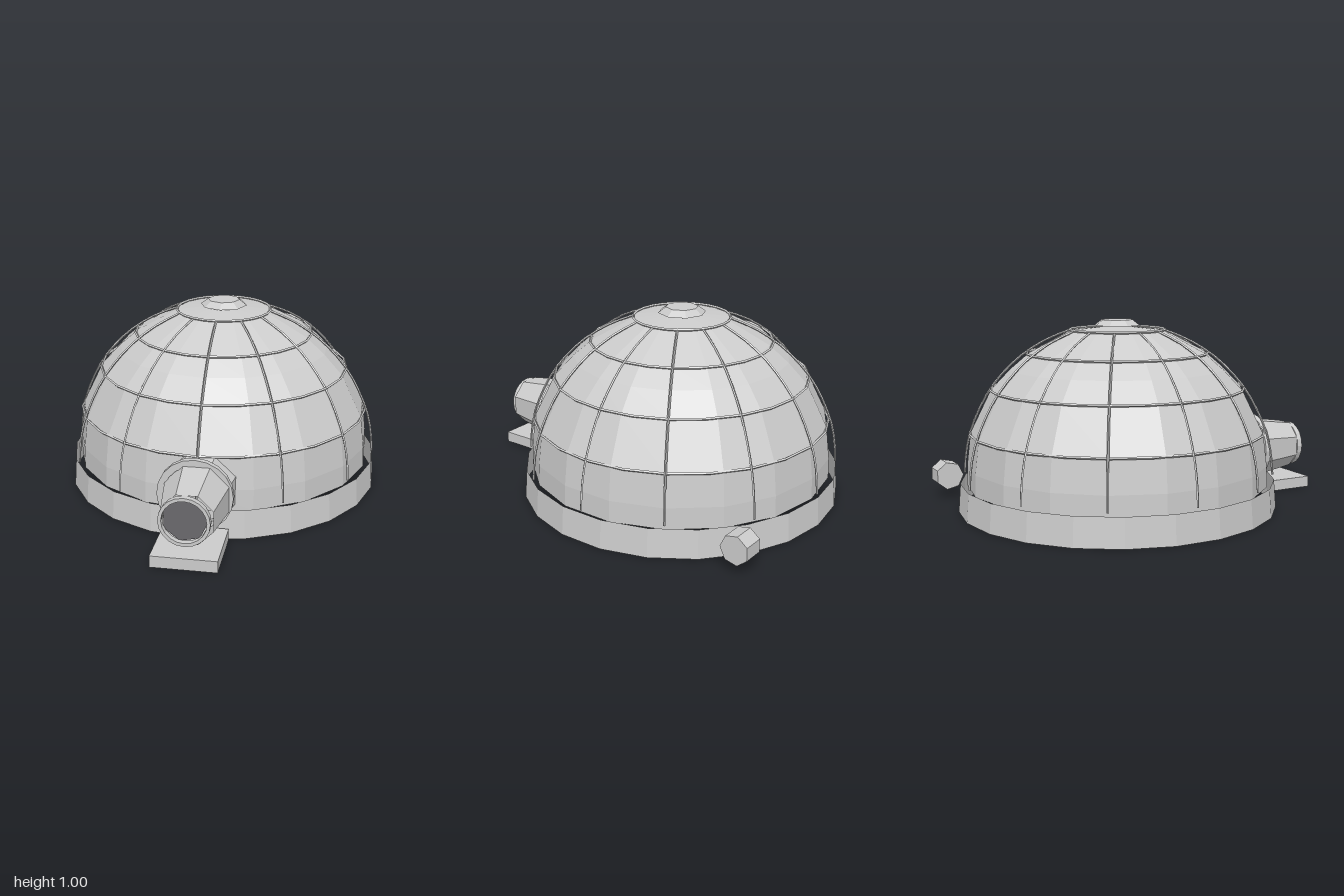
import * as THREE from 'three';

const grey = new THREE.MeshStandardMaterial({ color: 0xcccccc, flatShading: true, side: THREE.DoubleSide });
const dark = new THREE.MeshStandardMaterial({ color: 0x6a686c, flatShading: true, side: THREE.DoubleSide });

const DOME_Z = -0.155; // dome axis
const DOME_Y = 0.15; // centre of the dome's sphere
const TUNNEL_Y = 0.235;

function add(parent, name, geometry, x = 0, y = 0, z = 0, material = grey) {
  const mesh = new THREE.Mesh(geometry, material);
  mesh.name = name;
  mesh.position.set(x, y, z);
  parent.add(mesh);
  return mesh;
}

// Flat ring facing +z
function ringPlate(outer, inner, depth, sides) {
  const shape = new THREE.Shape().absarc(0, 0, outer, 0, Math.PI * 2);
  shape.holes.push(new THREE.Path().absarc(0, 0, inner, 0, Math.PI * 2, true));
  return new THREE.ExtrudeGeometry(shape, { depth, bevelEnabled: false, curveSegments: sides });
}

export function createModel() {
  const model = new THREE.Group();
  model.name = 'igloo';

  const dome = new THREE.Group();
  dome.name = 'dome';
  dome.position.z = DOME_Z;
  model.add(dome);

  // Open shell of the dome
  const profile = [
    [0.8, 0.13], [0.797, 0.24], [0.776, 0.41], [0.665, 0.635],
    [0.565, 0.74], [0.465, 0.825], [0.25, 0.938], [0.001, 0.965],
  ].map(([r, y]) => new THREE.Vector2(r, y));
  add(dome, 'shell', new THREE.LatheGeometry(profile, 18));

  // Foundation band, open above and below
  add(dome, 'baseBand', new THREE.CylinderGeometry(0.835, 0.847, 0.15, 22, 1, true), 0, 0.075, 0);

  // Horizontal seams between the block courses
  for (const [r, y] of [[0.78, 0.41], [0.67, 0.637], [0.478, 0.822], [0.253, 0.943]]) {
    add(dome, 'courseSeam', new THREE.TorusGeometry(r, 0.007, 4, 24), 0, y, 0).rotation.x = Math.PI / 2;
  }

  // Upright seams, slightly proud of the shell
  const seamPoints = [0.02, 0.16, 0.32, 0.6, 0.83, 0.95, 1.1, 1.26].map(
    (a) => new THREE.Vector3(0.829 * Math.cos(a), DOME_Y + 0.829 * Math.sin(a), 0));
  const seam = new THREE.TubeGeometry(new THREE.CatmullRomCurve3(seamPoints), 14, 0.006, 4);
  for (let i = 0; i < 12; i++) {
    add(dome, 'uprightSeam', seam).rotation.y = (i * Math.PI) / 6;
  }

  // Cap stone at the crown
  add(dome, 'capStone', new THREE.CylinderGeometry(0.085, 0.125, 0.03, 8), 0, 0.98, 0);

  // Entrance tunnel narrowing towards the front
  const entrance = new THREE.Group();
  entrance.name = 'entrance';
  model.add(entrance);
  const tunnel = new THREE.CylinderGeometry(0.135, 0.195, 0.39, 8, 1, true);
  tunnel.rotateY(Math.PI / 8).rotateX(Math.PI / 2);
  add(entrance, 'tunnel', tunnel, 0.01, TUNNEL_Y, 0.755);
  add(entrance, 'tunnelCollar', ringPlate(0.19, 0.155, 0.03, 10), 0, 0.24, 0.68);
  add(entrance, 'doorRing', ringPlate(0.125, 0.108, 0.03, 10), 0, TUNNEL_Y, 0.948);
  add(entrance, 'doorway', new THREE.CircleGeometry(0.112, 7), 0, TUNNEL_Y, 0.95, dark);
  add(entrance, 'doorStep', new THREE.BoxGeometry(0.325, 0.06, 0.32), 0, 0.03, 0.84);

  // Small log standing apart at the back
  const log = new THREE.CylinderGeometry(0.077, 0.077, 0.11, 7);
  add(model, 'log', log, 0.603, 0.125, -0.915).rotation.z = Math.PI / 2;

  return model;
}
